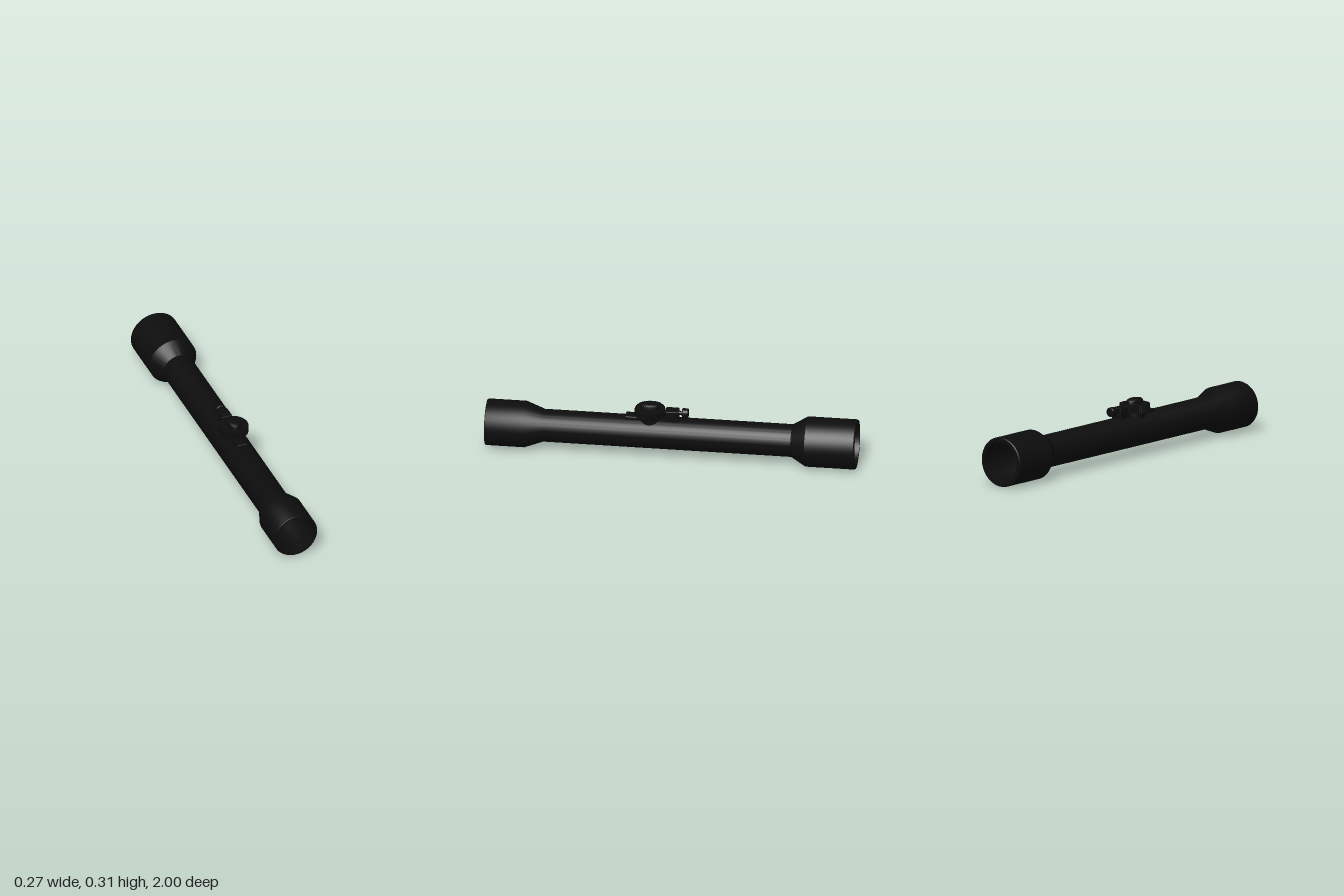
import * as THREE from 'three';
import { toCreasedNormals } from 'three/addons/utils/BufferGeometryUtils.js';
import { RoundedBoxGeometry } from 'three/addons/geometries/RoundedBoxGeometry.js';

const AXIS_Y = 0.135; // height of the optical axis
const TURRET_Z = 0.118;

export function createModel() {
  const model = new THREE.Group();
  model.name = 'opticalSight';
  const black = new THREE.MeshStandardMaterial({ color: 0x0d0d0d });
  black.name = 'matte black';

  const add = (name, geometry, x = 0, y = 0, z = 0) => {
    const mesh = new THREE.Mesh(geometry, black);
    mesh.name = name;
    mesh.position.set(x, y, z);
    model.add(mesh);
    return mesh;
  };
  const lathe = (points, segments = 64) => toCreasedNormals(
    new THREE.LatheGeometry(points.map(([r, h]) => new THREE.Vector2(r, h)), segments), 0.5);
  const box = (w, h, d) => new THREE.BoxGeometry(w, h, d);

  // Hollow body: outer skin from back to front, then the bore back again
  const body = lathe([
    [0.113, -1], [0.131, -1], [0.135, -0.994], [0.135, -0.73],
    [0.088, -0.65], [0.088, 0.69], [0.125, 0.79],
    [0.125, 0.994], [0.122, 1], [0.112, 1],
    [0.112, 0.93], [0.104, 0.93], [0.102, 0.79], [0.076, 0.69],
    [0.076, -0.65], [0.108, -0.73], [0.108, -0.93], [0.113, -0.93], [0.113, -1],
  ]);
  body.rotateX(Math.PI / 2);
  add('tubeBody', body, 0, AXIS_Y, 0);

  // Aiming posts inside the bore
  for (const side of [-1, 1]) {
    add(side > 0 ? 'leftPost' : 'rightPost', box(0.012, 0.055, 0.02), side * 0.073, 0.1375, TURRET_Z);
  }
  add('bottomPost', box(0.013, 0.014, 0.02), 0, 0.064, TURRET_Z);

  // Turret base passing through the tube wall
  add('turretBase', new THREE.CylinderGeometry(0.056, 0.056, 0.045, 48), 0, 0.2225, TURRET_Z);

  // Knurled adjustment drum
  const teeth = 48;
  const outline = new THREE.Shape();
  for (let i = 0; i < teeth * 2; i++) {
    const a = (i / (teeth * 2)) * Math.PI * 2;
    const r = i % 2 ? 0.079 : 0.082;
    if (i === 0) outline.moveTo(r, 0);
    else outline.lineTo(r * Math.cos(a), r * Math.sin(a));
  }
  const drum = new THREE.ExtrudeGeometry(outline, { depth: 0.04, bevelEnabled: false });
  drum.rotateX(-Math.PI / 2);
  add('adjustmentDrum', drum, 0, 0.24, TURRET_Z);

  // Oval grip with a softened top edge
  const grip = add('drumGrip', lathe([
    [0.055, 0], [0.055, 0.016], [0.051, 0.024], [0.042, 0.029], [0.03, 0.031], [0, 0.031],
  ], 48), 0, 0.278, TURRET_Z);
  grip.scale.x = 0.62;

  // Low plate ahead of the drum
  add('frontPlate', new RoundedBoxGeometry(0.06, 0.03, 0.09, 2, 0.005), 0, 0.22, 0.205);

  // Clamp block and thumb screw behind the drum
  add('clampBlock', new RoundedBoxGeometry(0.06, 0.068, 0.07, 2, 0.004), 0, 0.244, -0.002);
  const rod = new THREE.CylinderGeometry(0.011, 0.011, 0.04, 24);
  rod.rotateX(Math.PI / 2);
  add('screwShaft', rod, 0, 0.262, -0.048);
  const head = lathe([
    [0, -0.017], [0.023, -0.017], [0.026, -0.013], [0.026, 0.013], [0.023, 0.017], [0, 0.017],
  ], 32);
  head.rotateX(Math.PI / 2);
  add('thumbScrew', head, 0, 0.262, -0.073);

  return model;
}
